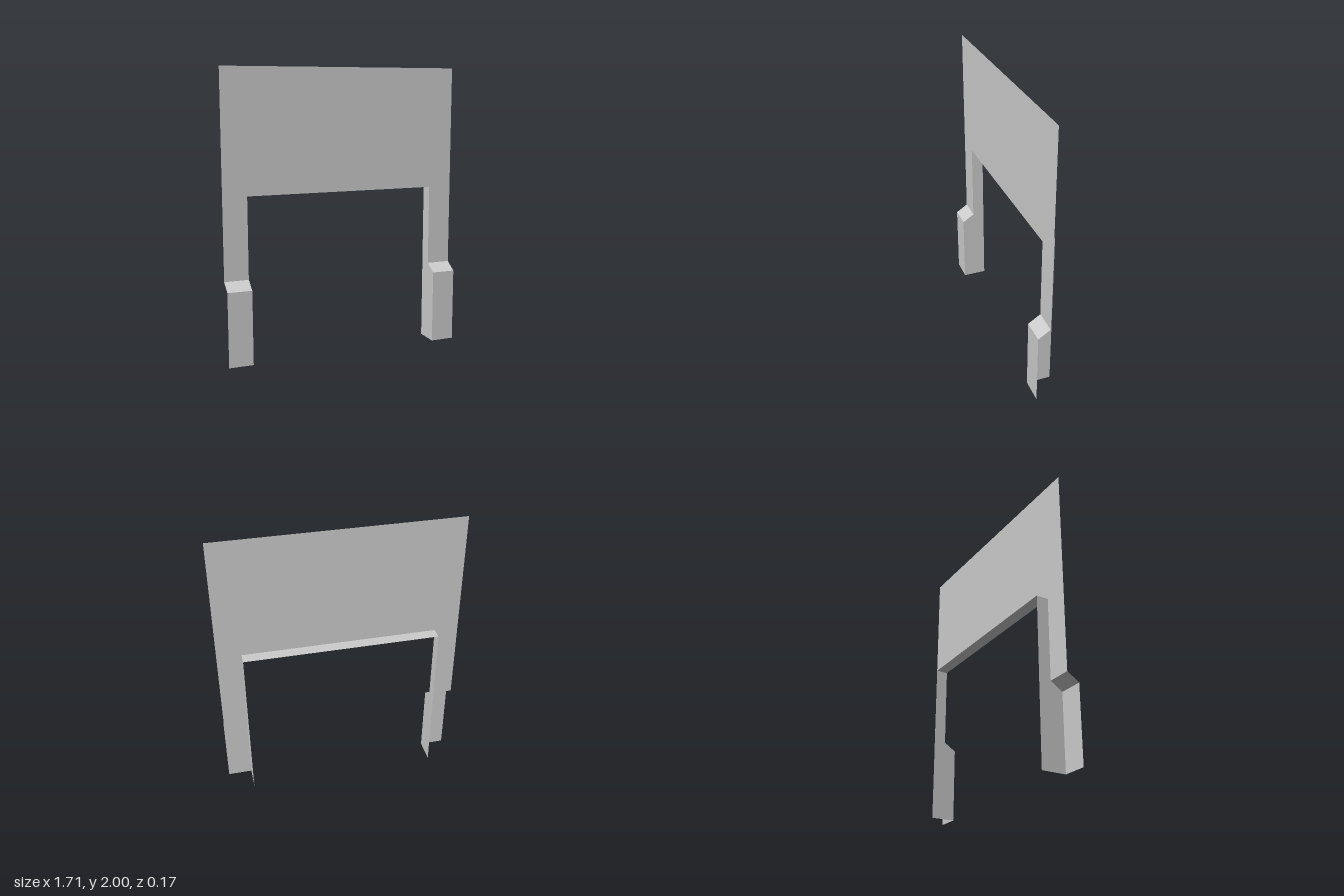
import * as THREE from 'three';

const OUT = 0.855, IN = 0.685, TOP = 2, LINTEL = 1.145;
const D = 0.085, SLOPE_TOP = 0.575, SLOPE_LOW = 0.52;

export function createModel() {
  const group = new THREE.Group();
  const material = new THREE.MeshStandardMaterial({ color: 0xcccccc, side: THREE.DoubleSide, flatShading: true });

  const add = (name, geometry, x = 0, y = 0, z = 0) => {
    const mesh = new THREE.Mesh(geometry, material);
    mesh.name = name;
    mesh.position.set(x, y, z);
    group.add(mesh);
  };
  const outline = (points) =>
    new THREE.ShapeGeometry(new THREE.Shape(points.map(([x, y]) => new THREE.Vector2(x, y))));

  // Thin wall face around the opening, ending above the plinths
  add('wallFace', outline([
    [-OUT, SLOPE_TOP], [-IN, SLOPE_TOP], [-IN, LINTEL], [IN, LINTEL],
    [IN, SLOPE_TOP], [OUT, SLOPE_TOP], [OUT, TOP], [-OUT, TOP],
  ]));

  // Underside of the lintel, running back from the wall face
  add('lintelUnderside', new THREE.PlaneGeometry(2 * IN, D).rotateX(Math.PI / 2), 0, LINTEL, -D / 2);

  for (const s of [-1, 1]) {
    const side = s > 0 ? 'left' : 'right';
    const width = OUT - IN, x = s * (OUT + IN) / 2;

    // Plinth: upright front and sloping cap, open outside, behind and below
    add(side + 'PlinthFront', new THREE.PlaneGeometry(width, SLOPE_LOW), x, SLOPE_LOW / 2, D);
    const rise = SLOPE_TOP - SLOPE_LOW;
    const cap = new THREE.PlaneGeometry(width, Math.hypot(D, rise)).rotateX(-Math.atan2(D, rise));
    add(side + 'PlinthCap', cap, x, (SLOPE_TOP + SLOPE_LOW) / 2, D / 2);

    // Jamb lining the opening, following the plinth profile
    const jamb = outline([
      [-D, 0], [D, 0], [D, SLOPE_LOW], [0, SLOPE_TOP], [0, LINTEL], [-D, LINTEL],
    ].map(([z, y]) => [s * z, y])).rotateY(-s * Math.PI / 2);
    add(side + 'Jamb', jamb, s * IN);
  }
  return group;
}
